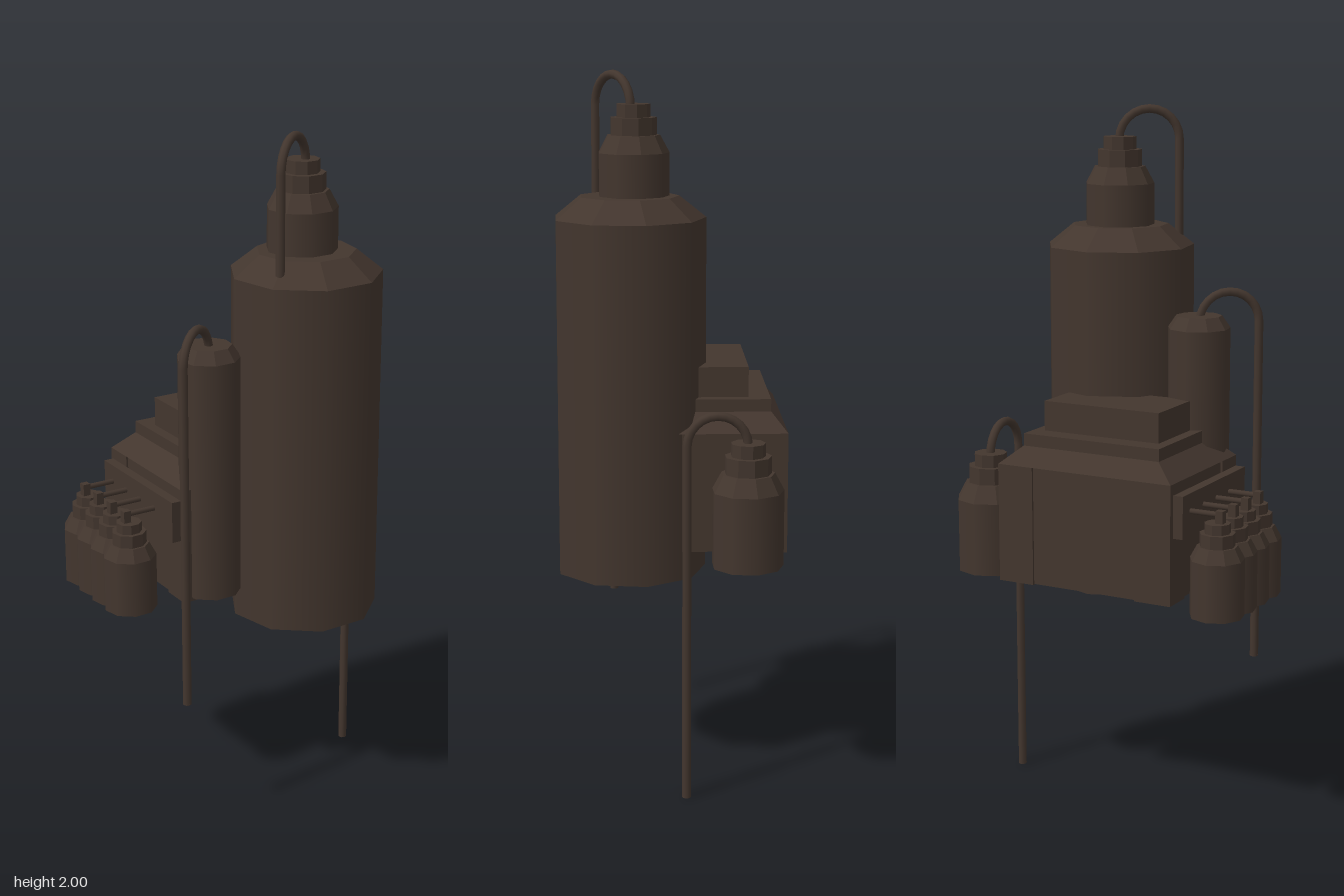
import * as THREE from 'three';

const iron = new THREE.MeshStandardMaterial({ color: 0x43362e });
iron.name = 'darkIron';

const SIDES = 9;
const TURN = THREE.MathUtils.degToRad(22);

function add(parent, name, geometry, x = 0, y = 0, z = 0) {
  const mesh = new THREE.Mesh(geometry, iron);
  mesh.name = name;
  mesh.position.set(x, y, z);
  parent.add(mesh);
  return mesh;
}

// One nine-sided section between two heights; faceted or smooth round the wall
function section(parent, name, rBottom, rTop, y0, y1, faceted) {
  let g = new THREE.CylinderGeometry(rTop, rBottom, y1 - y0, SIDES, 1, false, TURN);
  if (faceted) {
    g = g.toNonIndexed();
    g.computeVertexNormals();
  }
  return add(parent, name, g, 0, (y0 + y1) / 2, 0);
}

// Tank with a straight wall and a sloping shoulder
function tank(name, x, z, r, rTop, y0, yWall, yTop) {
  const g = new THREE.Group();
  g.name = name;
  g.position.set(x, 0, z);
  section(g, 'tankWall', r, r, y0, yWall, false);
  section(g, 'tankShoulder', r, rTop, yWall, yTop, true);
  return g;
}

// Canister with shoulder, neck and cap; its base stands at y
function canister(name, x, y, z, s = 1) {
  const g = new THREE.Group();
  g.name = name;
  g.position.set(x, y, z);
  g.scale.setScalar(s);
  section(g, 'canisterWall', 0.1, 0.1, 0, 0.212, false);
  section(g, 'canisterShoulder', 0.1, 0.074, 0.212, 0.26, true);
  section(g, 'canisterNeck', 0.065, 0.065, 0.255, 0.308, true);
  section(g, 'canisterCap', 0.048, 0.048, 0.308, 0.344, true);
  return g;
}

// Pipe that rises at a, arches over in a half circle and drops at b to height yEnd
function archPipe(parent, name, a, b, yStart, ySpring, yEnd) {
  const from = new THREE.Vector3(a[0], 0, a[1]);
  const to = new THREE.Vector3(b[0], 0, b[1]);
  const r = from.distanceTo(to) / 2;
  const path = new THREE.CurvePath();
  const points = [];
  const steps = 12;
  for (let i = 0; i <= steps; i++) {
    const t = (i / steps) * Math.PI;
    const p = from.clone().lerp(to, (1 - Math.cos(t)) / 2);
    p.y = ySpring + r * Math.sin(t);
    points.push(p);
  }
  points.unshift(from.clone().setY(yStart));
  points.push(to.clone().setY(yEnd));
  for (let i = 1; i < points.length; i++) path.add(new THREE.LineCurve3(points[i - 1], points[i]));
  // Sample each arch point once, so the long drop stays straight
  path.getPointAt = (u, target = new THREE.Vector3()) => {
    const k = Math.min(Math.floor(u * (points.length - 1) + 1e-6), points.length - 2);
    return target.lerpVectors(points[k], points[k + 1], u * (points.length - 1) - k);
  };
  path.getTangentAt = (u, target = new THREE.Vector3()) => {
    const k = Math.round(u * (points.length - 1));
    const p = points[Math.max(k - 1, 0)], q = points[Math.min(k + 1, points.length - 1)];
    if (k <= 1 || k >= points.length - 2) return target.set(0, k <= 1 ? 1 : -1, 0);
    return target.subVectors(q, p).normalize();
  };
  add(parent, name, new THREE.TubeGeometry(path, points.length - 1, 0.0125, 8, false));
  // Closed pipe end
  add(parent, name + 'End', new THREE.CylinderGeometry(0.0125, 0.0125, 0.004, 8), b[0], yEnd + 0.002, b[1]);
}

// Box given by its limits on each axis
function block(parent, name, x0, x1, y0, y1, z0, z1) {
  return add(parent, name, new THREE.BoxGeometry(x1 - x0, y1 - y0, z1 - z0),
    (x0 + x1) / 2, (y0 + y1) / 2, (z0 + z1) / 2);
}

export function createModel() {
  const model = new THREE.Group();
  model.name = 'boilerAssembly';

  // Tanks
  model.add(tank('mainTank', 0.11, 0.118, 0.215, 0.14, 0.6, 1.6, 1.66));
  model.add(tank('slimTank', -0.172, 0.064, 0.09, 0.066, 0.69, 1.385, 1.42));

  // Canisters on the main tank and on the left side
  model.add(canister('topCanister', 0.105, 1.566, 0.105));
  model.add(canister('sideCanister', 0.365, 0.674, -0.2));

  // Machine housing with corner posts and a stepped roof
  const housing = new THREE.Group();
  housing.name = 'housing';
  model.add(housing);
  const [x0, x1, z0, z1] = [-0.278, 0.265, -0.318, 0.097];
  block(housing, 'housingCore', x0 + 0.006, x1 - 0.006, 0.682, 1.02, z0 + 0.006, z1 - 0.006);
  for (const [a, b] of [[x0, x0 + 0.11], [x1 - 0.11, x1]]) {
    for (const [c, d] of [[z0, z0 + 0.09], [z1 - 0.09, z1]]) {
      block(housing, 'cornerPost', a, b, 0.68, 1.02, c, d);
    }
  }
  const slope = block(housing, 'roofSlope', x0, x1, 1.02, 1.07, z0, z1);
  const pos = slope.geometry.attributes.position;
  for (let i = 0; i < pos.count; i++) {
    if (pos.getY(i) > 0) pos.setXYZ(i, pos.getX(i) * 0.785, pos.getY(i), pos.getZ(i) * 0.79);
  }
  slope.geometry.computeVertexNormals();
  block(housing, 'roofStep', -0.22, 0.206, 1.07, 1.105, -0.274, 0.053);
  block(housing, 'roofBox', -0.188, 0.174, 1.105, 1.19, -0.213, -0.005);

  // Row of small canisters feeding a rail
  block(model, 'feedRail', -0.309, -0.28, 0.87, 0.99, -0.305, 0.09);
  for (let i = 0; i < 4; i++) {
    const z = -0.257 + i * 0.081;
    model.add(canister('smallCanister', -0.39, 0.656, z, 0.76));
    block(model, 'valveStem', -0.41, -0.388, 0.9, 0.952, z - 0.011, z + 0.011);
    const pipe = add(model, 'feedPipe', new THREE.CylinderGeometry(0.008, 0.008, 0.13, 8), -0.335, 0.94, z);
    pipe.rotation.z = Math.PI / 2;
  }

  // Arched pipes
  archPipe(model, 'topPipe', [0.11, 0.112], [-0.034, 0.21], 1.89, 1.9, 1.58);
  archPipe(model, 'slimTankPipe', [-0.172, 0.067], [-0.312, 0.166], 1.39, 1.4, 0.4);
  archPipe(model, 'sidePipe', [0.365, -0.2], [0.373, -0.034], 1.0, 1.01, 0);

  return model;
}
